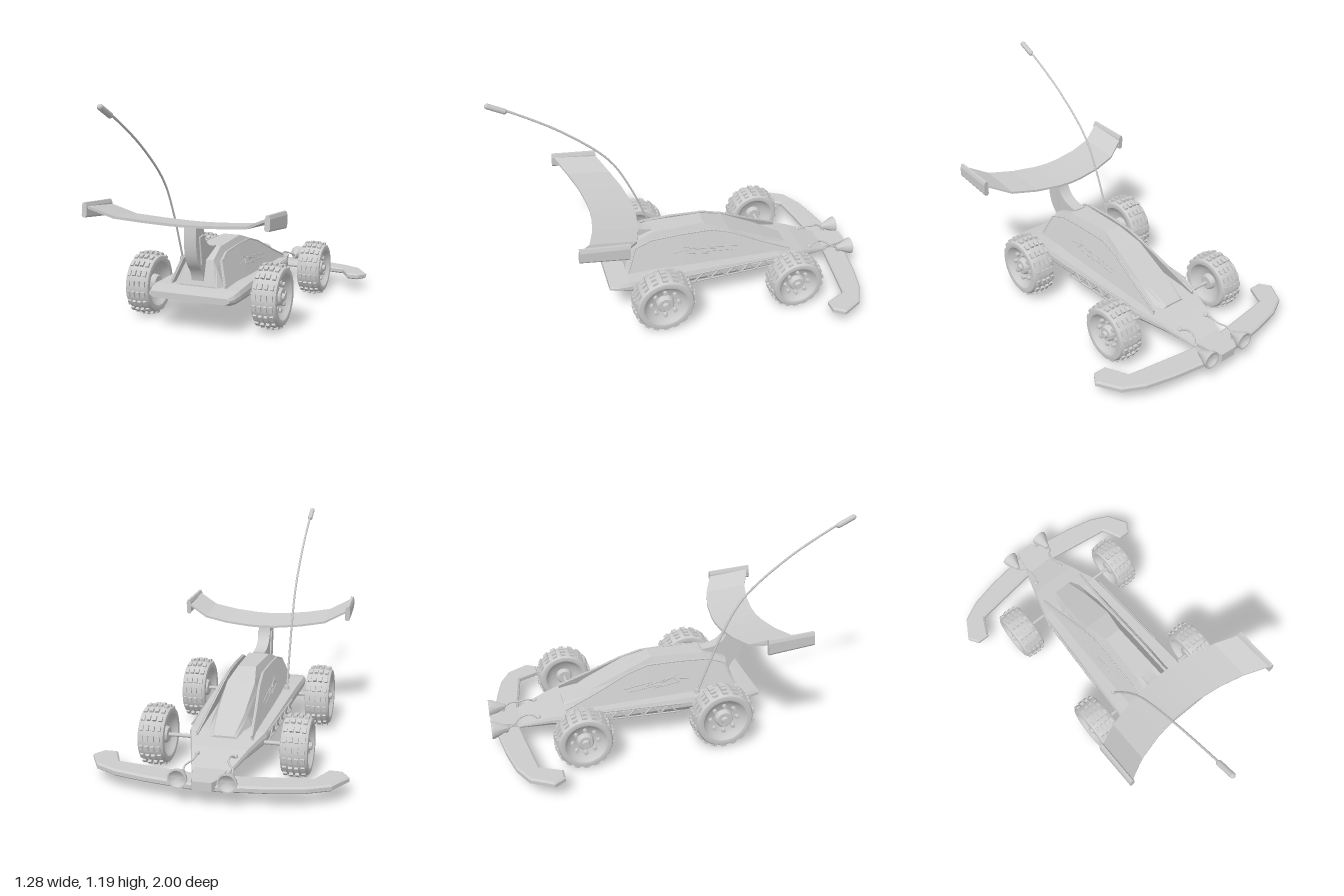
import * as THREE from 'three';
import { toCreasedNormals } from 'three/addons/utils/BufferGeometryUtils.js';

const flat = new THREE.MeshStandardMaterial({ color: 0xcccccc, flatShading: true, side: THREE.DoubleSide });
const smooth = new THREE.MeshStandardMaterial({ color: 0xcccccc, side: THREE.DoubleSide });
const V = (p) => new THREE.Vector3(...p);

function add(parent, name, geometry, material = smooth, position = [0, 0, 0]) {
  const mesh = new THREE.Mesh(geometry, material);
  mesh.name = name;
  mesh.position.set(...position);
  parent.add(mesh);
  return mesh;
}

// Skin over equal-sized convex rings, closed at both ends
function loft(rings) {
  const pos = [];
  const n = rings[0].length;
  const tri = (a, b, c) => pos.push(...a, ...b, ...c);
  for (let i = 0; i < rings.length - 1; i++) {
    for (let j = 0; j < n; j++) {
      const k = (j + 1) % n;
      tri(rings[i][j], rings[i][k], rings[i + 1][k]);
      tri(rings[i][j], rings[i + 1][k], rings[i + 1][j]);
    }
  }
  const a = rings[0], b = rings[rings.length - 1];
  for (let j = 1; j < n - 1; j++) {
    tri(a[0], a[j + 1], a[j]);
    tri(b[0], b[j], b[j + 1]);
  }
  const g = new THREE.BufferGeometry();
  g.setAttribute('position', new THREE.Float32BufferAttribute(pos, 3));
  g.computeVertexNormals();
  return g;
}

const mirrorRings = (rings) => rings.map((r) => r.map(([x, y, z]) => [-x, y, z]).reverse());

// Straight round rod between two points
function rod(parent, name, from, to, radius, sides = 8) {
  const a = V(from), d = V(to).sub(a);
  const mesh = add(parent, name, new THREE.CylinderGeometry(radius, radius, d.length(), sides));
  mesh.position.copy(a).addScaledVector(d, 0.5);
  mesh.quaternion.setFromUnitVectors(new THREE.Vector3(0, 1, 0), d.normalize());
  return mesh;
}

function tube(parent, name, points, radius, segments = 24) {
  const curve = new THREE.CatmullRomCurve3(points.map(V));
  return add(parent, name, new THREE.TubeGeometry(curve, segments, radius, 6), smooth);
}

// Wheel with dished faces, raised hub, rim bolts and four rows of tread blocks; outer face at +x
function makeWheel(radius) {
  const wheel = new THREE.Group();
  const s = radius / 0.175;
  const half = [[0, 0.055], [0.04, 0.055], [0.046, 0.048], [0.05, 0.026], [0.085, 0.034], [0.108, 0.05],
    [0.122, 0.066], [0.135, 0.069], [0.15, 0.066], [0.159, 0.052], [0.162, 0.03]];
  const profile = [...half.map(([r, h]) => [r, -h]), ...half.slice().reverse()];
  const body = new THREE.LatheGeometry(profile.map(([r, h]) => new THREE.Vector2(r * s, h)), 40);
  body.rotateZ(-Math.PI / 2);
  add(wheel, 'tire', toCreasedNormals(body, 0.6));
  const count = 18;
  const block = new THREE.BoxGeometry(0.019, 0.026 * s, 0.03 * s);
  for (let row = 0; row < 4; row++) {
    const outer = row === 0 || row === 3;
    for (let i = 0; i < count; i++) {
      const t = (i / count) * Math.PI * 2;
      const r = (outer ? 0.156 : 0.162) * s;
      const m = add(wheel, 'treadBlock', block, flat, [(row - 1.5) * 0.03, Math.cos(t) * r, Math.sin(t) * r]);
      m.rotation.x = t;
    }
  }
  const bolt = new THREE.CylinderGeometry(0.011 * s, 0.014 * s, 0.03, 8).rotateZ(-Math.PI / 2);
  for (let i = 0; i < 8; i++) {
    const t = (i / 8) * Math.PI * 2;
    add(wheel, 'rimBolt', bolt, smooth, [0.035, Math.cos(t) * 0.075 * s, Math.sin(t) * 0.075 * s]);
  }
  add(wheel, 'hubCap', new THREE.CylinderGeometry(0.016, 0.022, 0.02, 16).rotateZ(-Math.PI / 2), smooth, [0.06, 0, 0]);
  return wheel;
}

export function createModel() {
  const car = new THREE.Group();
  car.name = 'buggy';

  // Chassis slab with chamfered edges: z, half width, bottom y, top y
  const chassis = [[-0.86, 0.09, 0.1, 0.122], [-0.69, 0.145, 0.122, 0.172], [-0.52, 0.2, 0.132, 0.205],
    [0.2, 0.238, 0.148, 0.232], [0.37, 0.245, 0.158, 0.228], [0.43, 0.24, 0.165, 0.22], [0.48, 0.225, 0.178, 0.212]];
  add(car, 'chassis', loft(chassis.map(([z, w, b, t]) => {
    const e = t - (t - b) * 0.3, k = w * 0.88;
    return [[k, b, z], [w, b + (t - b) * 0.4, z], [w, e, z], [w * 0.96, t, z],
      [-w * 0.96, t, z], [-w, e, z], [-w, b + (t - b) * 0.4, z], [-k, b, z]];
  })), flat);

  // Canopy: z, top half width, base half width, top y
  const canopy = [[-0.6, 0.05, 0.1, 0.2], [-0.45, 0.07, 0.125, 0.275], [-0.24, 0.075, 0.14, 0.372],
    [-0.1, 0.05, 0.148, 0.418], [0.2, 0.06, 0.155, 0.412], [0.33, 0.075, 0.158, 0.365], [0.37, 0.1, 0.16, 0.235]];
  add(car, 'canopy', loft(canopy.map(([z, t, b, y]) => {
    const m = 0.17 + (y - 0.17) * 0.8, w = t + (b - t) * 0.22;
    return [[b, 0.17, z], [w, m, z], [t, y, z], [-t, y, z], [-w, m, z], [-b, 0.17, z]];
  })), flat);

  // Leaning side panels with an edge rail and zigzag trim
  const panelX = (y, z) => 0.168 + Math.min(0, z) * 0.04 - (y - 0.2) * 0.34;
  const edge = [[-0.6, 0.208], [-0.43, 0.278], [-0.25, 0.36], [-0.13, 0.395], [0.05, 0.398], [0.22, 0.39], [0.31, 0.36], [0.36, 0.24]];
  const panelRings = edge.map(([z, y]) => {
    const b = 0.185, xb = panelX(b, z), xt = panelX(y, z);
    return [[xb, b, z], [xt, y, z], [xt - 0.01, y, z], [xb - 0.01, b, z]];
  });
  const zigzags = [[[0.04, 0.33], [-0.06, 0.295], [-0.02, 0.315], [-0.15, 0.285], [-0.11, 0.305], [-0.28, 0.28]],
    [[0.1, 0.3], [0.0, 0.315], [0.04, 0.29], [-0.1, 0.27], [-0.06, 0.285], [-0.25, 0.265]]];
  for (const side of [1, -1]) {
    add(car, 'sidePanel', loft(side > 0 ? panelRings : mirrorRings(panelRings)), flat);
    const onPanel = ([z, y]) => [side * panelX(y, z), y, z];
    for (let i = 0; i < edge.length - 1; i++) rod(car, 'panelRail', onPanel(edge[i]), onPanel(edge[i + 1]), 0.005, 6);
    for (const line of zigzags) {
      for (let i = 0; i < line.length - 1; i++) rod(car, 'zigzagTrim', onPanel(line[i]), onPanel(line[i + 1]), 0.003, 5);
    }
    // Zigzag truss along the chassis edge
    const trussX = (z) => side * (0.228 + z * 0.053);
    const steps = 10;
    for (let i = 0; i < steps; i++) {
      const z0 = -0.46 + i * 0.046, z1 = z0 + 0.046;
      const y0 = i % 2 ? 0.2 : 0.158, y1 = i % 2 ? 0.158 : 0.2;
      rod(car, 'trussBar', [trussX(z0), y0, z0], [trussX(z1), y1, z1], 0.005, 6);
    }
    for (const y of [0.155, 0.203]) rod(car, 'trussRail', [trussX(-0.48), y, -0.48], [trussX(0.02), y, 0.02], 0.005, 6);
  }

  // Wing support: side profile drawn as (-z, y), extruded across x
  const s = new THREE.Shape();
  s.moveTo(-0.45, 0.57);
  s.lineTo(-0.36, 0.56);
  s.quadraticCurveTo(-0.36, 0.42, -0.2, 0.418);
  s.lineTo(-0.2, 0.22);
  s.lineTo(-0.36, 0.22);
  s.quadraticCurveTo(-0.36, 0.3, -0.41, 0.34);
  s.quadraticCurveTo(-0.47, 0.41, -0.45, 0.57);
  const support = new THREE.ExtrudeGeometry(s, { depth: 0.068, bevelEnabled: false, curveSegments: 8 });
  support.translate(0, 0, -0.034).rotateY(Math.PI / 2);
  add(car, 'wingSupport', toCreasedNormals(support, 0.6));
  const collar = add(car, 'supportCollar', new THREE.BoxGeometry(0.084, 0.15, 0.05), flat, [0, 0.43, 0.385]);
  collar.rotation.x = 0.15;

  // Swept wing: x, rise, backward sweep
  const halfWing = [[0.08, 0.002, 0.004], [0.22, 0.012, 0.024], [0.36, 0.03, 0.062], [0.485, 0.088, 0.125]];
  const wing = [...halfWing.map(([x, y, z]) => [-x, y, z]).reverse(), [0, 0, 0], ...halfWing];
  add(car, 'wing', loft(wing.map(([x, y, z]) => [
    [x, y + 0.545, z + 0.288], [x, y + 0.557, z + 0.288], [x, y + 0.582, z + 0.53], [x, y + 0.568, z + 0.53]])), flat);
  for (const side of [1, -1]) {
    const plate = [[0.473, 0.03], [0.48, 0.012], [0.494, 0.012], [0.5, 0.03]].map(([x, inset]) => [
      [x, 0.575 + inset * 0.5, 0.412], [x, 0.678 - inset, 0.408], [x, 0.695 - inset, 0.66], [x, 0.602 + inset * 0.5, 0.664]]);
    add(car, 'wingEndPlate', loft(side > 0 ? plate : mirrorRings(plate)), flat);
  }

  // Front bumper, outlined from above as (x, -z)
  const half = [[0.07, 0.975], [0.3, 0.942], [0.46, 0.905], [0.57, 0.85], [0.638, 0.735], [0.6, 0.677],
    [0.53, 0.677], [0.475, 0.79], [0.3, 0.815], [0.07, 0.847]];
  const outline = [...half, ...half.map(([x, z]) => [-x, z]).reverse()].map(([x, z]) => new THREE.Vector2(x, z));
  const bumper = new THREE.ExtrudeGeometry(new THREE.Shape(outline), {
    depth: 0.018, bevelEnabled: true, bevelThickness: 0.008, bevelSize: 0.01, bevelOffset: -0.01, bevelSegments: 1 });
  bumper.rotateX(-Math.PI / 2);
  add(car, 'frontBumper', bumper, flat, [0, 0.08, 0]);
  add(car, 'bumperMount', loft([[-0.998, 0.045, 0.085], [-0.95, 0.065, 0.09], [-0.84, 0.08, 0.1]].map(([z, w, b]) =>
    [[w, b, z], [w, 0.128, z], [-w, 0.128, z], [-w, b, z]])), flat);

  // Headlamps with cables
  const lamp = [[0, -0.005], [0.013, 0], [0.02, 0.02], [0.046, 0.075], [0.047, 0.09], [0.04, 0.09], [0.03, 0.078], [0, 0.07]];
  for (const side of [1, -1]) {
    const g = new THREE.LatheGeometry(lamp.map(([r, h]) => new THREE.Vector2(r, h)), 20).rotateX(-Math.PI / 2);
    add(car, 'headlamp', toCreasedNormals(g, 0.7), smooth, [side * 0.117, 0.132, -0.91]);
    rod(car, 'lampPost', [side * 0.11, 0.09, -0.925], [side * 0.117, 0.13, -0.925], 0.012);
    tube(car, 'lampCable', [[side * 0.117, 0.132, -0.91], [side * 0.115, 0.15, -0.88], [side * 0.085, 0.168, -0.84],
      [side * 0.082, 0.175, -0.79], [side * 0.094, 0.155, -0.745]], 0.005);
    add(car, 'cablePlug', new THREE.SphereGeometry(0.013, 10, 8), smooth, [side * 0.094, 0.158, -0.745]);
  }

  // Axles and wheels: z, y, radius
  for (const [name, z, y, r] of [['rear', 0.215, 0.178, 0.175], ['front', -0.54, 0.161, 0.158]]) {
    rod(car, name + 'Axle', [-0.36, y, z], [0.36, y, z], 0.01, 10);
    for (const side of [1, -1]) {
      const wheel = makeWheel(r);
      wheel.name = name + 'Wheel';
      wheel.position.set(side * 0.361, y, z);
      if (side < 0) wheel.rotation.y = Math.PI;
      car.add(wheel);
    }
  }

  // Bent whip antenna with a capsule tip
  add(car, 'antennaBase', new THREE.CylinderGeometry(0.013, 0.017, 0.025, 12), smooth, [-0.18, 0.238, 0.13]);
  tube(car, 'antenna', [[-0.18, 0.23, 0.13], [-0.18, 0.41, 0.2], [-0.18, 0.58, 0.27], [-0.18, 0.77, 0.38],
    [-0.18, 0.975, 0.62], [-0.18, 1.125, 0.87], [-0.18, 1.15, 0.92]], 0.006, 32);
  const tip = add(car, 'antennaTip', new THREE.CapsuleGeometry(0.015, 0.09, 4, 10), smooth, [-0.18, 1.155, 0.945]);
  tip.rotation.x = Math.PI / 2 - 0.45;
  return car;
}
